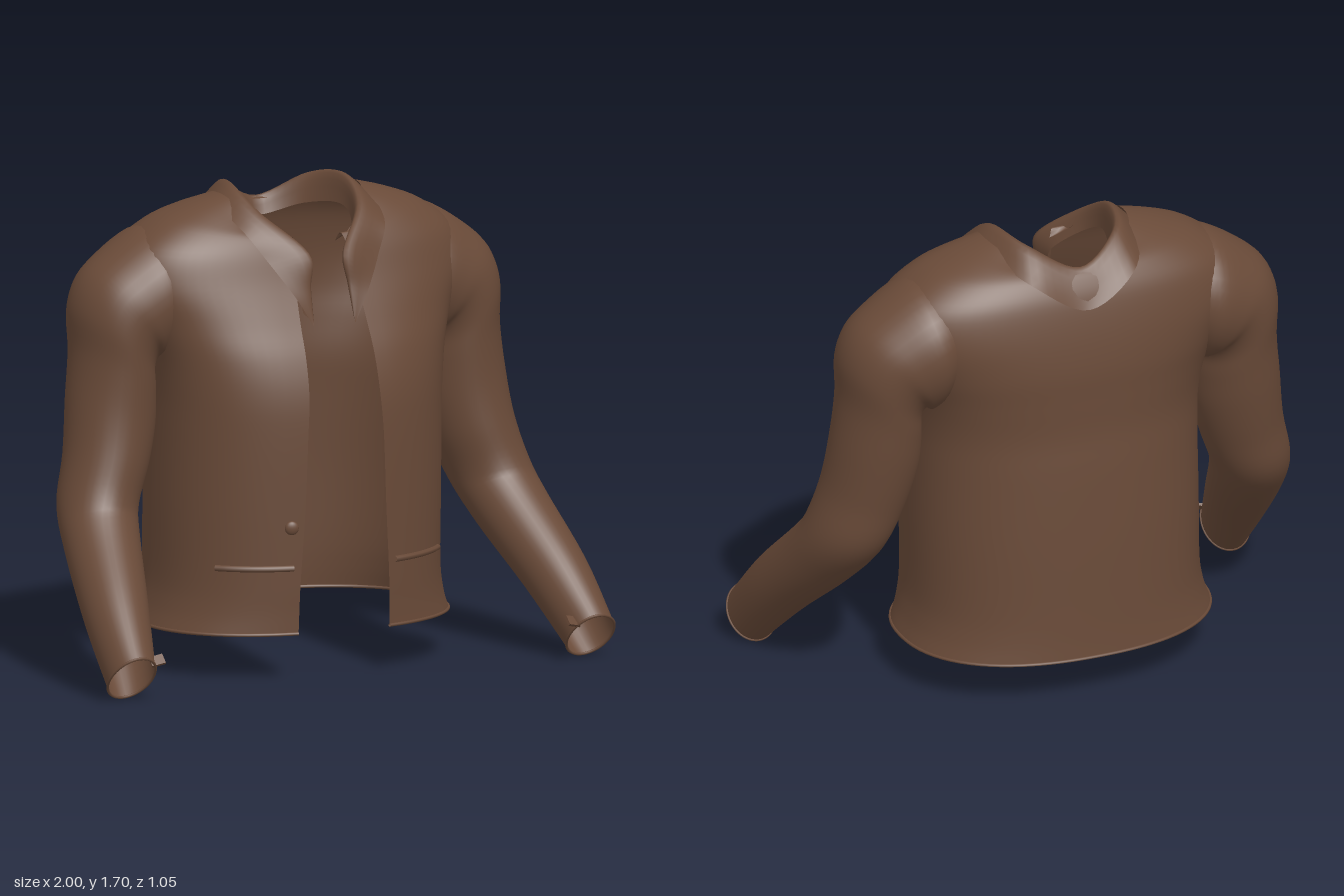
import * as THREE from 'three';

const cloth = new THREE.MeshStandardMaterial({ color: 0x694a38, side: THREE.DoubleSide });
cloth.name = 'brown cloth';
const V = (x, y, z) => new THREE.Vector3(x, y, z);

// Skin a grid of points, row by row, with smooth normals
function loft(rows, closed = false) {
  const n = rows[0].length, index = [];
  for (let i = 0; i < rows.length - 1; i++) {
    for (let j = 0; j < (closed ? n : n - 1); j++) {
      const k = (j + 1) % n;
      const a = i * n + j, b = i * n + k, c = (i + 1) * n + k, d = (i + 1) * n + j;
      index.push(a, b, c, a, c, d);
    }
  }
  const g = new THREE.BufferGeometry();
  g.setAttribute('position', new THREE.Float32BufferAttribute(rows.flat().flatMap(p => p.toArray()), 3));
  g.setIndex(index);
  g.computeVertexNormals();
  return g;
}

// Smoothly interpolate a table of numbers at t in 0..1
function sample(table, t) {
  const s = t * (table.length - 1), i = Math.min(Math.floor(s), table.length - 2), f = s - i;
  const at = k => table[Math.max(0, Math.min(table.length - 1, k))];
  return table[i].map((_, c) => {
    const p0 = at(i - 1)[c], p1 = at(i)[c], p2 = at(i + 1)[c], p3 = at(i + 2)[c];
    const m1 = (p2 - p0) / 2, m2 = (p3 - p1) / 2;
    return p1 + f * (m1 + f * (3 * (p2 - p1) - 2 * m1 - m2 + f * (2 * (p1 - p2) + m1 + m2)));
  });
}

function part(name, geometry) {
  const m = new THREE.Mesh(geometry, cloth);
  m.name = name;
  return m;
}
const cord = (pts, r, closed = false) =>
  new THREE.TubeGeometry(new THREE.CatmullRomCurve3(pts, closed), 80, r, 6, closed);

// Body sections: y, half width, front z, back z, half gap, front drop, back drop, squareness
const BODY = [
  [0.165, 0.57, 0.33, -0.52, 0.18, 0, 0, 2.3],
  [0.24, 0.545, 0.333, -0.515, 0.178, 0, 0, 2.3],
  [0.35, 0.53, 0.338, -0.51, 0.175, 0, 0, 2.3],
  [0.60, 0.53, 0.342, -0.50, 0.16, 0, 0, 2.3],
  [0.85, 0.53, 0.342, -0.485, 0.15, 0, 0, 2.3],
  [1.00, 0.535, 0.33, -0.472, 0.14, 0, 0, 2.35],
  [1.13, 0.555, 0.295, -0.472, 0.135, 0, 0, 2.45],
  [1.25, 0.60, 0.24, -0.472, 0.13, 0, 0, 2.5],
  [1.38, 0.66, 0.18, -0.455, 0.12, 0, 0, 2.5],
  [1.50, 0.635, 0.14, -0.425, 0.11, 0.02, 0, 2.5],
  [1.59, 0.525, 0.115, -0.39, 0.10, 0.06, 0.02, 2.4],
  [1.64, 0.40, 0.105, -0.36, 0.09, 0.11, 0.04, 2.3],
  [1.675, 0.27, 0.10, -0.335, 0.08, 0.18, 0.08, 2.2],
];

function bodyRow(t, segs = 72) {
  const [y, w, zf, zb, gap, df, db, n] = sample(BODY, t);
  const zc = (zf + zb) / 2, r = (zf - zb) / 2, pow = 2 / n;
  const start = Math.asin(Math.pow(gap / w, 1 / pow));
  return Array.from({ length: segs + 1 }, (_, j) => {
    const a = start + (2 * Math.PI - 2 * start) * j / segs;
    const s = Math.sin(a), c = Math.cos(a);
    return V(w * Math.sign(s) * Math.abs(s) ** pow, y - (c > 0 ? df : db) * c * c,
      zc + r * Math.sign(c) * Math.abs(c) ** pow);
  });
}

// Front surface depth at a given x on the lower body
const frontZ = x => -0.085 + 0.425 * Math.pow(1 - Math.pow(Math.abs(x) / 0.53, 2.3), 1 / 2.3);

// Sleeve sections: outer x, y, inner x, y, centre z, half depth as y, z
const SLEEVE = [
  [0.46, 1.575, 0.45, 1.16, -0.165, 0, 0.21],
  [0.57, 1.568, 0.49, 1.11, -0.16, 0, 0.238],
  [0.70, 1.49, 0.515, 1.09, -0.155, 0, 0.228],
  [0.785, 1.41, 0.53, 1.10, -0.15, 0, 0.212],
  [0.825, 1.30, 0.54, 1.07, -0.145, 0, 0.2],
  [0.825, 1.15, 0.535, 1.00, -0.14, 0, 0.19],
  [0.845, 0.98, 0.54, 0.88, -0.13, 0, 0.18],
  [0.87, 0.80, 0.575, 0.74, -0.105, 0.02, 0.168],
  [0.915, 0.63, 0.63, 0.60, -0.07, 0.04, 0.155],
  [0.945, 0.49, 0.67, 0.49, 0.035, 0.088, 0.1],
  [0.985, 0.285, 0.75, 0.285, 0.255, 0.085, 0.085],
  [0.995, 0.09, 0.82, 0.09, 0.445, 0.08, 0.07],
];

function sleeveRow(t, segs = 36) {
  const [px, py, qx, qy, zc, vy, vz] = sample(SLEEVE, t);
  return Array.from({ length: segs }, (_, j) => {
    const a = 2 * Math.PI * j / segs, c = Math.cos(a), s = Math.sin(a);
    return V((px + qx) / 2 + (px - qx) / 2 * c, (py + qy) / 2 + (py - qy) / 2 * c + vy * s, zc + vz * s);
  });
}

// Collar stations from centre back to the tip: stand, fold and outer edge
const COLLAR = [
  [0, 1.54, -0.32, 0, 1.605, -0.355, 0, 1.475, -0.44],
  [0.14, 1.58, -0.26, 0.165, 1.685, -0.275, 0.2, 1.585, -0.392],
  [0.20, 1.60, -0.10, 0.22, 1.705, -0.11, 0.295, 1.64, -0.13],
  [0.185, 1.55, 0.02, 0.195, 1.625, 0.05, 0.28, 1.57, 0.085],
  [0.10, 1.45, 0.12, 0.07, 1.49, 0.185, 0.215, 1.46, 0.165],
  [0.10, 1.36, 0.16, 0.075, 1.37, 0.21, 0.14, 1.34, 0.225],
  [0.10, 1.28, 0.20, 0.08, 1.25, 0.243, 0.083, 1.24, 0.245],
];

function collarGeometry() {
  const flip = COLLAR.slice(1).reverse().map(s => s.map((v, i) => i % 3 ? v : -v));
  const table = [...flip, ...COLLAR];
  const rows = Array.from({ length: 85 }, (_, i) => {
    const s = sample(table, i / 84);
    const across = new THREE.CatmullRomCurve3([0, 3, 6].map(k => V(s[k], s[k + 1], s[k + 2])));
    return across.getPoints(10);
  });
  return loft(rows);
}

export function createModel() {
  const jacket = new THREE.Group();
  jacket.name = 'jacket';

  // Body, open down the front, with a rolled hem
  jacket.add(part('body', loft(Array.from({ length: 61 }, (_, i) => bodyRow(i / 60)))));
  jacket.add(part('hemEdge', cord(bodyRow(0), 0.006)));
  jacket.add(part('collar', collarGeometry()));

  // Sleeves, cuffs and pocket welts, mirrored
  for (const side of [1, -1]) {
    const half = new THREE.Group();
    half.name = side > 0 ? 'leftSide' : 'rightSide';
    half.scale.x = side;
    half.add(part('sleeve', loft(Array.from({ length: 56 }, (_, i) => sleeveRow(i / 55)), true)));
    half.add(part('cuffEdge', cord(sleeveRow(1), 0.005, true)));
    const tab = part('cuffTab', new THREE.BoxGeometry(0.05, 0.01, 0.04));
    tab.position.set(0.822, 0.15, 0.475);
    tab.rotation.set(0.75, 0, -0.3);
    half.add(tab);
    const welt = Array.from({ length: 9 }, (_, i) => 0.2 + 0.03 * i).map(x => V(x, 0.4, frontZ(x)));
    half.add(part('pocketWelt', cord(welt, 0.011)));
    jacket.add(half);
  }

  // Single button on the right front
  const button = part('button', new THREE.SphereGeometry(0.025, 20, 12));
  button.scale.z = 0.5;
  button.position.set(-0.21, 0.545, frontZ(0.21) + 0.006);
  button.rotation.y = -0.3;
  jacket.add(button);

  return jacket;
}
